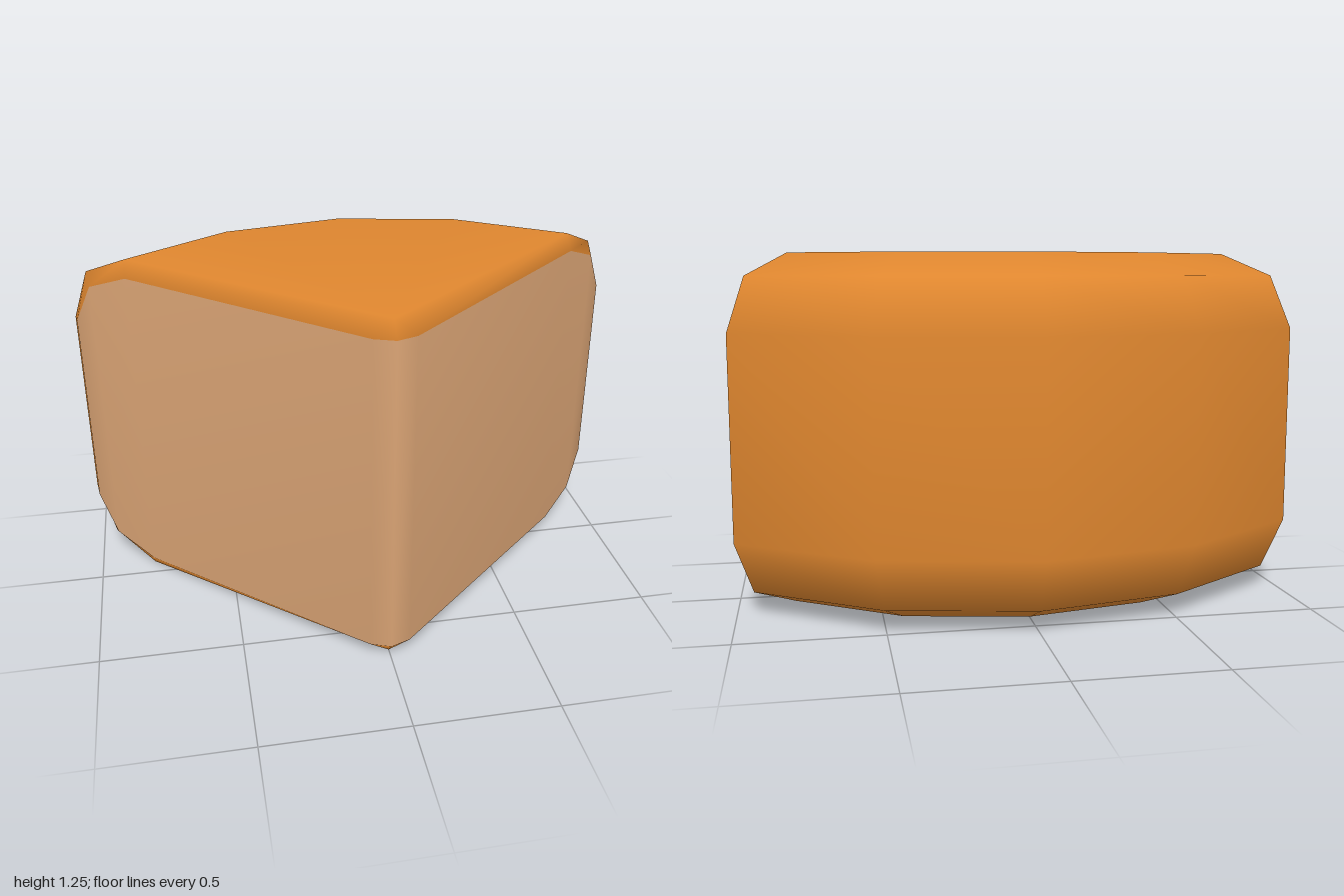
import * as THREE from 'three';

const HEIGHT = 1.255;

export function createModel() {
  const crustMaterial = new THREE.MeshStandardMaterial({ color: 0xe0872f });
  crustMaterial.name = 'orange crust';
  const cutMaterial = new THREE.MeshStandardMaterial({ color: 0xd9a374 });
  cutMaterial.name = 'pale cut face';

  const positions = [];
  const point = (x, y, z) => positions.push(x, y, z) / 3 - 1;
  const quad = (list, a, b, c, d) => {
    if (a !== b) list.push(a, b, c);
    if (c !== d && a !== d) list.push(a, c, d);
  };

  // Rounded outer profile (radius, height), swept around the tip in five sections
  const lower = [[1.07, 0], [1.26, 0.08], [1.34, 0.27]];
  const profile = [...lower, ...lower.map(([r, y]) => [r, HEIGHT - y]).reverse()];
  const sections = [-2, -1, 0, 1, 2].map((k) => {
    const angle = THREE.MathUtils.degToRad(23.6 * k);
    const stretch = 1 + 0.0042 * k * k;
    return profile.map(([r, y]) =>
      point(r * stretch * Math.sin(angle), y, 0.67 - r * stretch * Math.cos(angle)));
  });
  const tipBottom = point(0, 0, 0.62);
  const tipTop = point(0, HEIGHT, 0.62);

  // Crust: curved back, then flat top and bottom fanned from the tip
  const crust = [];
  for (let i = 0; i < 4; i++) {
    const a = sections[i], b = sections[i + 1];
    for (let j = 0; j < 5; j++) quad(crust, a[j], a[j + 1], b[j + 1], b[j]);
    crust.push(tipTop, b[5], a[5], tipBottom, a[0], b[0]);
  }

  // Cut faces: upright columns (x, z, lower y) from one outer edge round the tip to the other
  const half = [[0.99, -0.19, 0.26], [0.93, -0.135, 0.115], [0.8, -0.02, 0.052], [0.07, 0.642, 0.052]];
  const columns = [
    ...half.map(([x, z, y]) => [-x, z, y]),
    [0, 0.668, 0.052],
    ...half.slice().reverse(),
  ];
  const bottoms = columns.map(([x, z, y]) => point(x, y, z));
  const tops = columns.map(([x, z, y]) => point(x, HEIGHT - y, z));
  const cut = [];
  for (let k = 0; k < 8; k++) quad(cut, bottoms[k], bottoms[k + 1], tops[k + 1], tops[k]);

  // Crust bevel all round the cut faces
  const first = sections[0], last = sections[4];
  const inner = [...bottoms, ...tops.slice().reverse()];
  const outer = [
    first[2], first[1], first[0], tipBottom, tipBottom, tipBottom, last[0], last[1], last[2],
    last[3], last[4], last[5], tipTop, tipTop, tipTop, first[5], first[4], first[3],
  ];
  inner.forEach((p, i) => {
    const n = (i + 1) % inner.length;
    quad(crust, inner[n], inner[i], outer[i], outer[n]);
  });

  // Shared smooth normals across both parts
  const whole = new THREE.BufferGeometry();
  whole.setAttribute('position', new THREE.Float32BufferAttribute(positions, 3));
  whole.setIndex([...crust, ...cut]);
  whole.computeVertexNormals();

  const group = new THREE.Group();
  group.name = 'wedge';
  for (const [name, index, material] of [['crust', crust, crustMaterial], ['cutFaces', cut, cutMaterial]]) {
    const geometry = new THREE.BufferGeometry();
    geometry.setAttribute('position', whole.getAttribute('position'));
    geometry.setAttribute('normal', whole.getAttribute('normal'));
    geometry.setIndex(index);
    const mesh = new THREE.Mesh(geometry, material);
    mesh.name = name;
    group.add(mesh);
  }
  return group;
}
